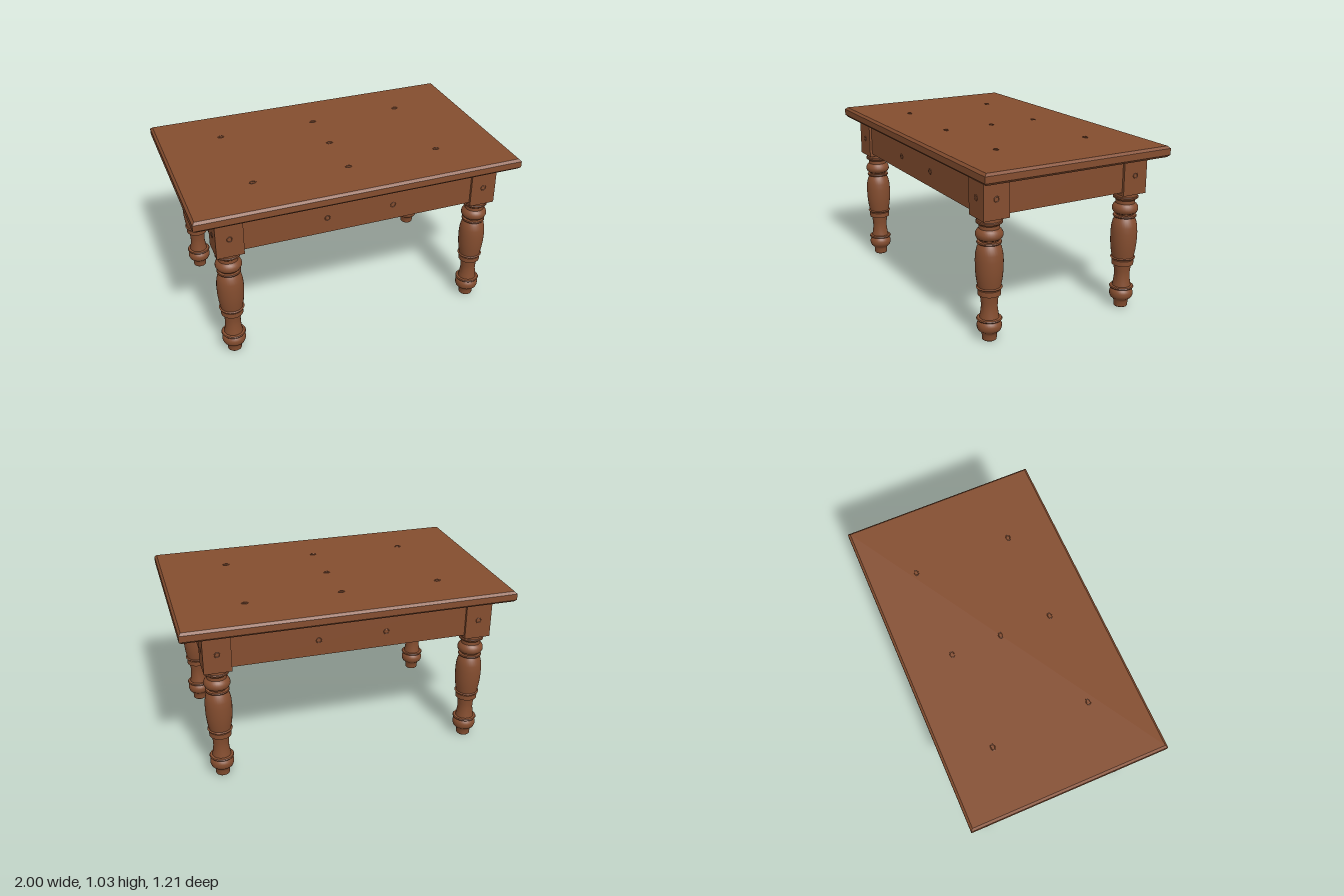
import * as THREE from 'three';
import { toCreasedNormals } from 'three/addons/utils/BufferGeometryUtils.js';

export function createModel() {
  const group = new THREE.Group();
  const wood = new THREE.MeshStandardMaterial({ color: 0x844d2f });
  wood.name = 'brown wood';

  const add = (name, geometry, x, y, z) => {
    const mesh = new THREE.Mesh(geometry, wood);
    mesh.name = name;
    mesh.position.set(x, y, z);
    group.add(mesh);
    return mesh;
  };

  // Tabletop slab with chamfered edges
  const hw = 1, hd = 0.605, bevel = 0.014, bottom = 0.966, top = 1.032;
  const outline = new THREE.Shape();
  outline.moveTo(-hw + bevel, -hd + bevel);
  outline.lineTo(hw - bevel, -hd + bevel);
  outline.lineTo(hw - bevel, hd - bevel);
  outline.lineTo(-hw + bevel, hd - bevel);
  outline.closePath();
  const slab = new THREE.ExtrudeGeometry(outline, {
    depth: top - bottom - 2 * bevel, bevelSize: bevel, bevelThickness: bevel, bevelSegments: 1,
  });
  slab.rotateX(-Math.PI / 2);
  add('tabletop', slab, 0, bottom + bevel, 0);

  // Turned leg profile: radius, height
  const profile = [
    [0, 0], [0.038, 0], [0.042, 0.004], [0.043, 0.035], [0.05, 0.05], [0.065, 0.062], [0.071, 0.078],
    [0.071, 0.095], [0.066, 0.111], [0.056, 0.121], [0.07, 0.123], [0.074, 0.129], [0.07, 0.135],
    [0.056, 0.137], [0.052, 0.16], [0.047, 0.2], [0.048, 0.235], [0.054, 0.274], [0.066, 0.276],
    [0.066, 0.307], [0.058, 0.309], [0.058, 0.315], [0.072, 0.316], [0.075, 0.32], [0.066, 0.325],
    [0.074, 0.37], [0.079, 0.42], [0.08, 0.48], [0.077, 0.52], [0.069, 0.555], [0.056, 0.575],
    [0.068, 0.578], [0.071, 0.584], [0.068, 0.59], [0.054, 0.592], [0.056, 0.6], [0.07, 0.608],
    [0.078, 0.624], [0.077, 0.64], [0.069, 0.655], [0.058, 0.664], [0.057, 0.684], [0.068, 0.693],
    [0.075, 0.698], [0.075, 0.706], [0.07, 0.71], [0.07, 0.735],
  ].map(([r, y]) => new THREE.Vector2(r, y));
  const turned = toCreasedNormals(new THREE.LatheGeometry(profile, 32), 0.65);

  // Four legs, each a turned shaft below a square post
  const legX = 0.792, legZ = 0.464, post = 0.162;
  const postBottom = 0.73;
  const postGeometry = new THREE.BoxGeometry(post, bottom + 0.01 - postBottom, post);
  for (const sx of [-1, 1]) {
    for (const sz of [-1, 1]) {
      add('turnedLeg', turned, sx * legX, 0, sz * legZ);
      add('legPost', postGeometry, sx * legX, (postBottom + bottom + 0.01) / 2, sz * legZ);
    }
  }

  // Aprons between the posts, set slightly back from their outer faces
  const apronBottom = 0.75, thick = 0.06, inset = 0.015;
  const apronH = bottom + 0.01 - apronBottom, apronY = apronBottom + apronH / 2;
  const back = post / 2 - inset - thick / 2;
  for (const s of [-1, 1]) {
    add(s > 0 ? 'frontApron' : 'backApron',
      new THREE.BoxGeometry(2 * legX - post + 0.02, apronH, thick), 0, apronY, s * (legZ + back));
    add(s > 0 ? 'leftApron' : 'rightApron',
      new THREE.BoxGeometry(thick, apronH, 2 * legZ - post + 0.02), s * (legX + back), apronY, 0);
  }

  // Small raised wood knots
  const knot = new THREE.TorusGeometry(0.015, 0.003, 6, 14);
  for (const [x, z] of [[-0.61, -0.31], [0, -0.31], [0.58, -0.31], [0, 0], [-0.58, 0.3], [0, 0.32], [0.58, 0.3]]) {
    const k = add('topKnot', knot, x, top, z);
    k.rotation.x = Math.PI / 2;
    k.scale.set(1.2, 0.8, 1);
  }
  for (const s of [-1, 1]) {
    for (const x of [-legX, -0.21, 0.2, legX]) {
      const face = Math.abs(x) === legX ? post / 2 : post / 2 - inset;
      add('sideKnot', knot, x, 0.845, s * (legZ + face));
    }
    for (const z of [-legZ, legZ]) {
      add('postKnot', knot, s * (legX + post / 2), 0.845, z).rotation.y = Math.PI / 2;
    }
  }

  return group;
}
